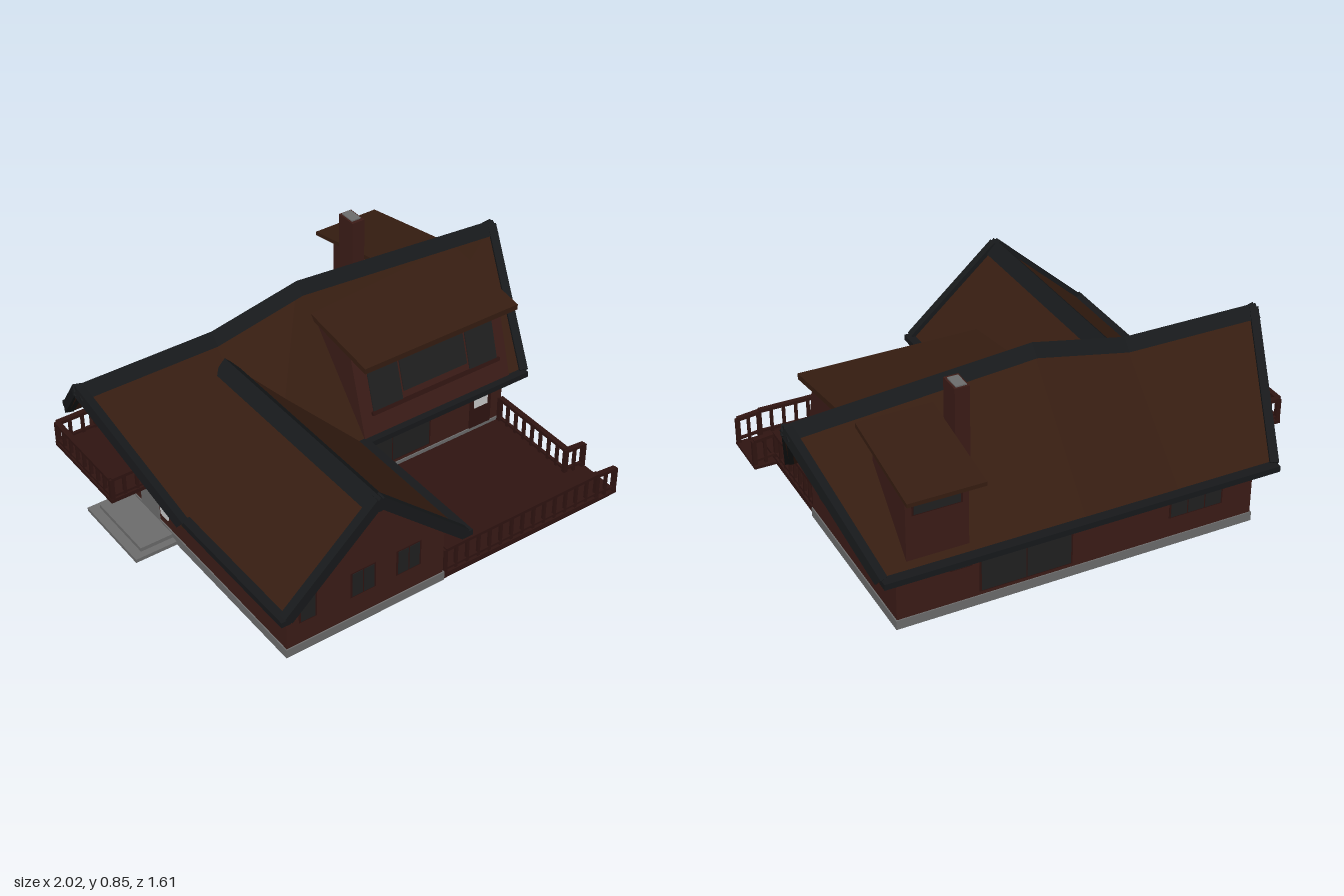
import * as THREE from 'three';

const mat = (color) => new THREE.MeshStandardMaterial({ color, side: THREE.DoubleSide, flatShading: true });

export function createModel() {
  const house = new THREE.Group();
  house.name = 'house';
  const wall = mat(0x3c1c17), roof = mat(0x361d11), trim = mat(0x17191b), glass = mat(0x202020);
  const wood = mat(0x2f1411), concrete = mat(0x6c6c6c), pale = mat(0xcccccc);

  const add = (name, geo, m, parent = house) => {
    const mesh = new THREE.Mesh(geo, m);
    mesh.name = name;
    parent.add(mesh);
    return mesh;
  };
  // Box given by its two extreme corners
  const box = (name, m, x0, x1, y0, y1, z0, z1, parent) => {
    const b = add(name, new THREE.BoxGeometry(x1 - x0, y1 - y0, z1 - z0), m, parent);
    b.position.set((x0 + x1) / 2, (y0 + y1) / 2, (z0 + z1) / 2);
    return b;
  };
  // Straight bar between two points
  const beam = (name, m, a, b, w, h, parent) => {
    const A = new THREE.Vector3(...a), B = new THREE.Vector3(...b);
    const bar = add(name, new THREE.BoxGeometry(w, h, A.distanceTo(B)), m, parent);
    bar.position.copy(A).lerp(B, 0.5);
    bar.lookAt(B);
    return bar;
  };
  const polygon = (pts) => new THREE.Shape(pts.map((p) => new THREE.Vector2(...p)));
  // Profile of (x, y) extruded along z, and of (z, y) extruded along x
  const prismZ = (name, m, pts, z0, z1) =>
    add(name, new THREE.ExtrudeGeometry(polygon(pts), { depth: z1 - z0, bevelEnabled: false }).translate(0, 0, z0), m);
  const prismX = (name, m, pts, x0, x1) =>
    add(name, new THREE.ExtrudeGeometry(polygon(pts.map(([z, y]) => [-z, y])), { depth: x1 - x0, bevelEnabled: false })
      .rotateY(Math.PI / 2).translate(x0, 0, 0), m);
  // Skin over four-cornered sections, closed at both ends
  const loft = (name, m, sections) => {
    const pos = [];
    const quad = (a, b, c, d) => pos.push(...a, ...b, ...c, ...a, ...c, ...d);
    for (let i = 0; i + 1 < sections.length; i++)
      for (let k = 0; k < 4; k++) {
        const n = (k + 1) % 4, s = sections[i], t = sections[i + 1];
        quad(s[k], s[n], t[n], t[k]);
      }
    quad(...[...sections[0]].reverse());
    quad(...sections[sections.length - 1]);
    const g = new THREE.BufferGeometry();
    g.setAttribute('position', new THREE.Float32BufferAttribute(pos, 3));
    g.computeVertexNormals();
    return add(name, g, m);
  };

  // Foundation, walls
  box('foundation', concrete, -0.765, 0.765, 0, 0.04, -0.72, 0.09);
  box('wingFoundation', concrete, -0.765, -0.035, 0, 0.04, 0.09, 0.725);
  prismX('mainWalls', wall, [[0.085, 0.035], [0.085, 0.28], [-0.31, 0.672], [-0.715, 0.28], [-0.715, 0.035]], -0.76, 0.76);
  prismZ('wingWalls', wall, [[-0.76, 0.035], [-0.76, 0.275], [-0.4, 0.59], [-0.04, 0.275], [-0.04, 0.035]], 0.05, 0.72);

  // Main roof: the ridge kinks, the gable ends lean outwards
  const stations = [[-1, -0.83, 0.7], [-0.4, -0.4, 0.7], [0, 0, 0.78], [1, 0.83, 0.7]];
  const RZ = -0.31, EY = 0.27, T = 0.035;
  for (const [side, ez] of [['front', 0.13], ['back', -0.75]]) {
    loft(side + 'Roof', roof, stations.map(([rx, ex, ry]) =>
      [[ex, EY, ez], [rx, ry, RZ], [rx, ry - T, RZ], [ex, EY - T, ez]]));
    for (const s of [-1, 1])
      beam(side + 'Verge', trim, [s * 0.83, EY - 0.005, ez], [s * 0.99, 0.695, RZ], 0.035, 0.045);
  }
  loft('ridgeCap', trim, stations.map(([x, , y]) =>
    [[x, y + 0.017, RZ], [x, y - 0.03, RZ + 0.043], [x, y - 0.045, RZ], [x, y - 0.03, RZ - 0.043]]));
  box('frontEave', trim, 0, 0.835, 0.25, 0.275, 0.12, 0.16);
  box('backEave', trim, -0.835, 0.835, 0.25, 0.275, -0.79, -0.745);

  // Front wing roof, cut back to the valleys
  for (const s of [-1, 1]) {
    const ex = -0.4 + s * 0.4;
    loft('wingRoof', roof, [[0.1, -0.26], [0.79, 0.79]].map(([ez, rz]) =>
      [[ex, EY, ez], [-0.4, 0.625, rz], [-0.4, 0.625 - T, rz], [ex, EY - T, ez]]));
    beam('wingVerge', trim, [ex, EY - 0.005, 0.782], [-0.4, 0.622, 0.782], 0.036, 0.045);
    const lip = ex + s * 0.012;
    box('wingEave', trim, lip - 0.02, lip + 0.02, 0.25, 0.275, 0.12, 0.8);
  }
  prismZ('wingRidgeCap', trim, [[-0.4, 0.643], [-0.35, 0.592], [-0.4, 0.58], [-0.45, 0.592]], -0.22, 0.8);

  // Front shed dormer with a raked face
  prismX('frontDormer', wall, [[0.13, 0.275], [0.03, 0.61], [-0.22, 0.66], [-0.2, 0.32]], 0.02, 0.757);
  prismX('frontDormerRoof', roof, [[0.14, 0.63], [0.14, 0.605], [-0.29, 0.67], [-0.29, 0.692]], 0.01, 0.77);
  const face = new THREE.Group();
  face.name = 'dormerWindows';
  face.position.set(0, 0.275, 0.13);
  face.rotation.x = -Math.atan2(0.1, 0.335);
  house.add(face);
  for (const [x0, x1, y0, y1] of [[0.08, 0.225, 0.1, 0.33], [0.235, 0.555, 0.13, 0.32], [0.565, 0.705, 0.1, 0.33]])
    box('dormerPane', glass, x0, x1, y0, y1, -0.01, 0.005, face);
  box('dormerSill', wood, 0.07, 0.715, 0.085, 0.1, -0.01, 0.012, face);
  box('dormerMullion', wood, 0.235, 0.555, 0.285, 0.295, -0.01, 0.009, face);

  // Back dormer and chimney
  box('backDormer', wall, 0.47, 0.72, 0.26, 0.605, -0.724, -0.45);
  prismX('backDormerRoof', roof, [[-0.37, 0.69], [-0.81, 0.605], [-0.81, 0.588], [-0.37, 0.67]], 0.44, 0.75);
  box('chimney', wall, 0.38, 0.44, 0.3, 0.845, -0.555, -0.46);
  box('chimneyFlue', concrete, 0.388, 0.432, 0.84, 0.85, -0.547, -0.475);

  // Windows: framed rows of n panes on a wall facing x or z
  const windowRow = (axis, dir, at, u0, u1, y0, y1, n = 1) => {
    const g = new THREE.Group();
    g.name = 'window';
    house.add(g);
    const put = (name, m, a, b, c, d, out) => {
      const p = at - 0.012, q = at + out, lo = dir > 0 ? p : -q, hi = dir > 0 ? q : -p;
      if (axis === 'z') box(name, m, a, b, c, d, lo, hi, g);
      else box(name, m, lo, hi, c, d, a, b, g);
    };
    put('frame', wood, u0 - 0.005, u1 + 0.005, y0 - 0.005, y1 + 0.005, 0.002);
    const w = (u1 - u0) / n;
    for (let i = 0; i < n; i++) put('pane', glass, u0 + i * w + 0.003, u0 + (i + 1) * w - 0.003, y0, y1, 0.004);
  };
  windowRow('z', 1, 0.72, -0.7, -0.63, 0.145, 0.26);
  windowRow('z', 1, 0.72, -0.47, -0.365, 0.145, 0.255, 2);
  windowRow('z', 1, 0.72, -0.26, -0.155, 0.145, 0.255, 2);
  windowRow('z', 1, 0.085, 0, 0.38, 0.06, 0.25, 2);
  windowRow('x', 1, -0.04, 0.37, 0.595, 0.145, 0.25, 2);
  windowRow('x', 1, 0.76, -0.06, 0, 0.14, 0.26);
  windowRow('x', 1, 0.76, -0.21, -0.145, 0.14, 0.26);
  windowRow('x', 1, 0.76, -0.63, -0.36, 0.222, 0.253);
  windowRow('x', 1, 0.76, -0.385, -0.28, 0.505, 0.57, 2);
  windowRow('z', -1, 0.715, 0.04, 0.42, 0.06, 0.25, 2);
  windowRow('z', -1, 0.715, -0.62, -0.39, 0.13, 0.21, 3);
  windowRow('z', -1, 0.715, 0.46, 0.54, 0.19, 0.245);
  windowRow('z', -1, 0.724, 0.5, 0.69, 0.49, 0.54);
  windowRow('x', -1, 0.76, 0.18, 0.26, 0.15, 0.25);
  windowRow('x', -1, 0.76, 0.48, 0.58, 0.15, 0.25, 2);
  windowRow('x', -1, 0.76, -0.46, -0.16, 0.31, 0.48, 3);
  prismX('gableGlass', glass, [[0.08, 0.315], [-0.22, 0.315], [-0.22, 0.585], [0.06, 0.315]].slice(0, 3), 0.755, 0.765);

  // Doors
  box('deckDoor', wood, 0.59, 0.7, 0.035, 0.255, 0.08, 0.09);
  box('deckDoorLight', pale, 0.61, 0.68, 0.14, 0.25, 0.08, 0.093);
  box('entryDoor', concrete, -0.768, -0.75, 0.04, 0.25, -0.3, -0.17);
  box('entrySideLight', pale, -0.766, -0.75, 0.08, 0.25, -0.155, -0.1);

  // Entry steps
  box('entryStepLow', concrete, -0.95, -0.76, 0, 0.016, -0.42, -0.04);
  box('entryStepHigh', concrete, -0.91, -0.76, 0.016, 0.033, -0.39, -0.07);

  // Railing from a to b (foot points), n gaps between balusters
  const railing = (name, a, b, h, n, low = 0.03) => {
    const g = new THREE.Group();
    g.name = name;
    house.add(g);
    const up = (p, y) => [p[0], p[1] + y, p[2]];
    beam('topRail', wood, up(a, h), up(b, h), 0.022, 0.014, g);
    beam('bottomRail', wood, up(a, low), up(b, low), 0.012, 0.01, g);
    for (let i = 0; i <= n; i++) {
      const p = a.map((v, k) => v + (b[k] - v) * i / n), r = i % n ? 0.006 : 0.009;
      box('baluster', wood, p[0] - r, p[0] + r, p[1], p[1] + h, p[2] - r, p[2] + r, g);
    }
  };

  // Deck with side steps
  box('deck', wood, -0.04, 0.755, 0, 0.025, 0.085, 0.72);
  box('deckStep', wood, 0.75, 0.85, 0, 0.012, 0.5, 0.72);
  railing('deckFrontRailing', [-0.025, 0.01, 0.71], [0.745, 0.01, 0.71], 0.13, 14);
  railing('deckSideRailing', [0.745, 0.01, 0.1], [0.745, 0.01, 0.52], 0.13, 8);
  for (const z of [0.52, 0.71]) railing('stepRailing', [0.745, 0.01, z], [0.84, -0.0, z], 0.125, 2);

  // Side balcony
  box('balconyFloor', wood, -1, -0.755, 0.285, 0.302, -0.54, -0.1);
  railing('balconyRailing', [-0.99, 0.3, -0.53], [-0.99, 0.3, -0.11], 0.095, 8, 0.012);
  for (const z of [-0.53, -0.11]) railing('balconyEndRailing', [-0.99, 0.3, z], [-0.77, 0.3, z], 0.095, 4, 0.012);

  return house;
}
